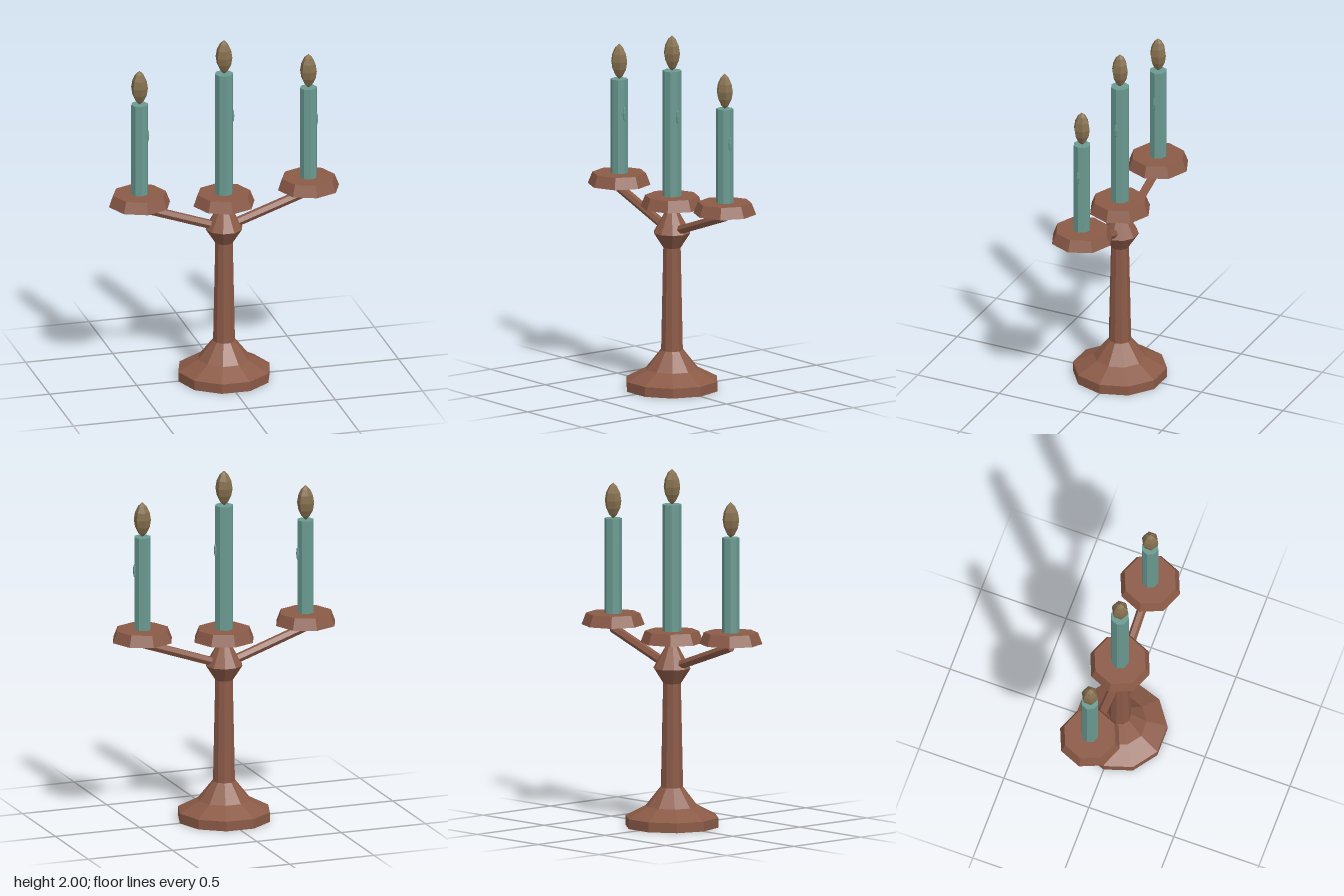
import * as THREE from 'three';

const bronze = new THREE.MeshStandardMaterial({ color: 0x8b5a47 });
bronze.name = 'bronze';
const wax = new THREE.MeshStandardMaterial({ color: 0x6a9a92 });
wax.name = 'wax';
const flameMat = new THREE.MeshStandardMaterial({ color: 0x86704f });
flameMat.name = 'flame';

// Faceted mesh: split faces so that each gets its own normal
function facet(name, geometry, material) {
  const g = geometry.toNonIndexed();
  g.computeVertexNormals();
  const mesh = new THREE.Mesh(g, material);
  mesh.name = name;
  return mesh;
}

// Faceted turned part from [radius, height] pairs, bottom to top
function turned(name, profile, sides, material) {
  const points = profile.map(([r, y]) => new THREE.Vector2(r, y));
  return facet(name, new THREE.LatheGeometry(points, sides), material);
}

// Drip pan, candle, wax drip and flame
function candleHolder(name, x, panY, panHeight, candleRadius, candleHeight) {
  const holder = new THREE.Group();
  holder.name = name;
  holder.position.set(x, panY, 0);

  const pan = facet('pan', new THREE.CylinderGeometry(0.15, 0.175, panHeight, 8), bronze);
  pan.position.y = panHeight / 2;

  const candle = facet('candle',
    new THREE.CylinderGeometry(candleRadius, candleRadius, candleHeight, 8), wax);
  candle.position.y = panHeight + candleHeight / 2;

  const drip = facet('waxDrip', new THREE.SphereGeometry(0.012, 5, 4).scale(1, 3.6, 1), wax);
  drip.position.set(candleRadius - 0.004, panHeight + candleHeight * 0.64, 0);

  const flame = turned('flame', [
    [0, 0], [0.022, 0.02], [0.041, 0.058], [0.048, 0.1],
    [0.041, 0.143], [0.024, 0.178], [0, 0.2],
  ], 6, flameMat);
  flame.position.y = panHeight + candleHeight - 0.002;

  holder.add(pan, candle, drip, flame);
  return holder;
}

export function createModel() {
  const model = new THREE.Group();
  model.name = 'candelabra';

  // Foot, column and knob share ten sides, with a corner on the x axis
  const stand = new THREE.Group();
  stand.name = 'stand';
  stand.rotation.y = Math.PI / 10;
  stand.add(
    turned('foot', [[0, 0], [0.262, 0], [0.262, 0.055], [0.148, 0.115], [0.065, 0.22], [0, 0.22]], 10, bronze),
    turned('column', [[0.063, 0.21], [0.05, 0.81]], 10, bronze),
    turned('knob', [[0, 0.8], [0.05, 0.8], [0.105, 0.885], [0.02, 1.035]], 10, bronze),
  );
  model.add(stand);

  // Middle candle
  model.add(candleHolder('middleHolder', 0, 1.028, 0.064, 0.052, 0.708));

  // Side arms and candles
  for (const [side, s] of [['left', 1], ['right', -1]]) {
    const start = new THREE.Vector3(0, 0.885, 0);
    const end = new THREE.Vector3(s * 0.484, 1.054, 0);
    const along = end.clone().sub(start);
    const arm = facet(side + 'Arm', new THREE.CylinderGeometry(0.026, 0.026, along.length(), 6), bronze);
    arm.position.copy(start).add(end).multiplyScalar(0.5);
    arm.quaternion.setFromUnitVectors(new THREE.Vector3(0, 1, 0), along.normalize());
    model.add(arm, candleHolder(side + 'Holder', s * 0.484, 1.074, 0.064, 0.048, 0.53));
  }
  return model;
}
